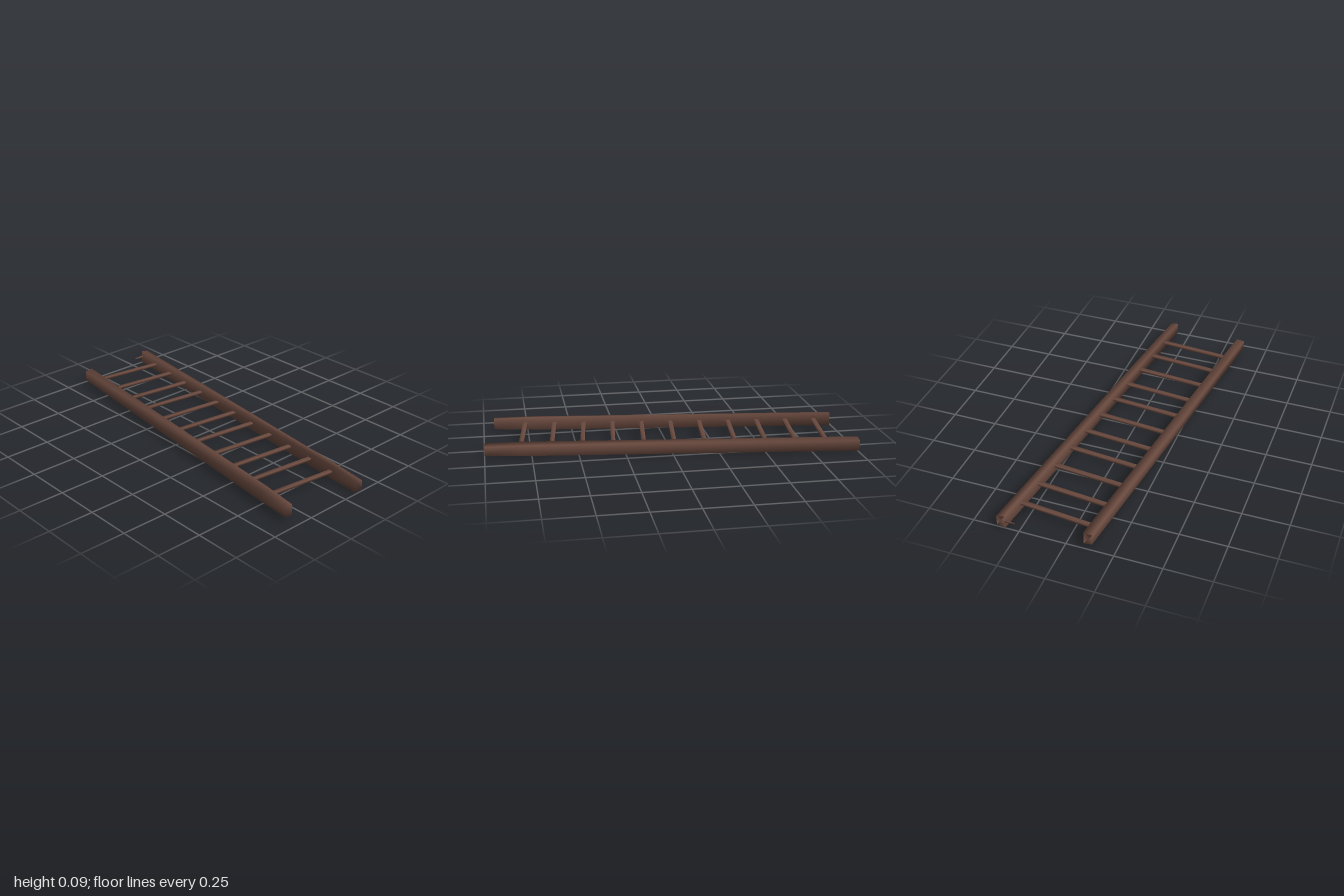
import * as THREE from 'three';

// Smooth closed beam through a list of four-cornered sections
function loft(sections) {
  const pos = sections.flat(2), idx = [];
  const n = sections.length;
  for (let i = 0; i < n - 1; i++) {
    for (let j = 0; j < 4; j++) {
      const a = i * 4 + j, b = i * 4 + (j + 1) % 4;
      idx.push(a, a + 4, b + 4, a, b + 4, b);
    }
  }
  const e = (n - 1) * 4;
  idx.push(0, 1, 2, 0, 2, 3, e, e + 2, e + 1, e, e + 3, e + 2);
  const g = new THREE.BufferGeometry();
  g.setAttribute('position', new THREE.Float32BufferAttribute(pos, 3));
  g.setIndex(idx);
  g.computeVertexNormals();
  return g;
}

export function createModel() {
  const group = new THREE.Group();
  const wood = new THREE.MeshStandardMaterial({ color: 0x6a4a3f });
  wood.name = 'darkWood';

  const add = (name, geometry) => {
    const mesh = new THREE.Mesh(geometry, wood);
    mesh.name = name;
    group.add(mesh);
  };

  // Side rails: taller on the inner face, tapering at the +x end
  const rails = {
    backRail: { x0: -1, z0: -0.348, x1: 1, z1: -0.098, y: 0.039, outer: -1 },
    frontRail: { x0: -0.98, z0: 0.109, x1: 0.94, z1: 0.347, y: 0.049, outer: 1 },
  };
  const railZ = (r, x) => r.z0 + (r.z1 - r.z0) * (x - r.x0) / (r.x1 - r.x0);

  for (const [name, r] of Object.entries(rails)) {
    const section = (x, scale) => {
      const z = railZ(r, x);
      const back = (r.outer < 0 ? 0.029 : 0.038) * scale;
      const front = (r.outer < 0 ? 0.038 : 0.029) * scale;
      return [
        [x, r.y - back, z - 0.022], [x, r.y - front, z + 0.022],
        [x, r.y + front, z + 0.022], [x, r.y + back, z - 0.022],
      ];
    };
    add(name, loft([section(r.x0, 1), section(r.x1 - 0.2, 1), section(r.x1, 0.82)]));
  }

  // Rungs run from front to back, slightly lower at the back
  const rungSection = (x, y, z, w, h) => [
    [x - w, y - h, z], [x + w, y - h, z], [x + w, y + h, z], [x - w, y + h, z],
  ];
  for (let i = 0; i < 11; i++) {
    const xf = -0.888 + i * 0.165, xb = xf + 0.05;
    add('rung' + (i + 1), loft([
      rungSection(xf, 0.048, railZ(rails.frontRail, xf), 0.012, 0.007),
      rungSection(xb, 0.041, railZ(rails.backRail, xb), 0.012, 0.007),
    ]));
  }

  // Splinter left from a broken rung
  add('brokenRung', loft([
    rungSection(-0.997, 0.042, -0.27, 0.001, 0.003),
    rungSection(-0.993, 0.041, -0.34, 0.006, 0.007),
  ]));

  return group;
}
